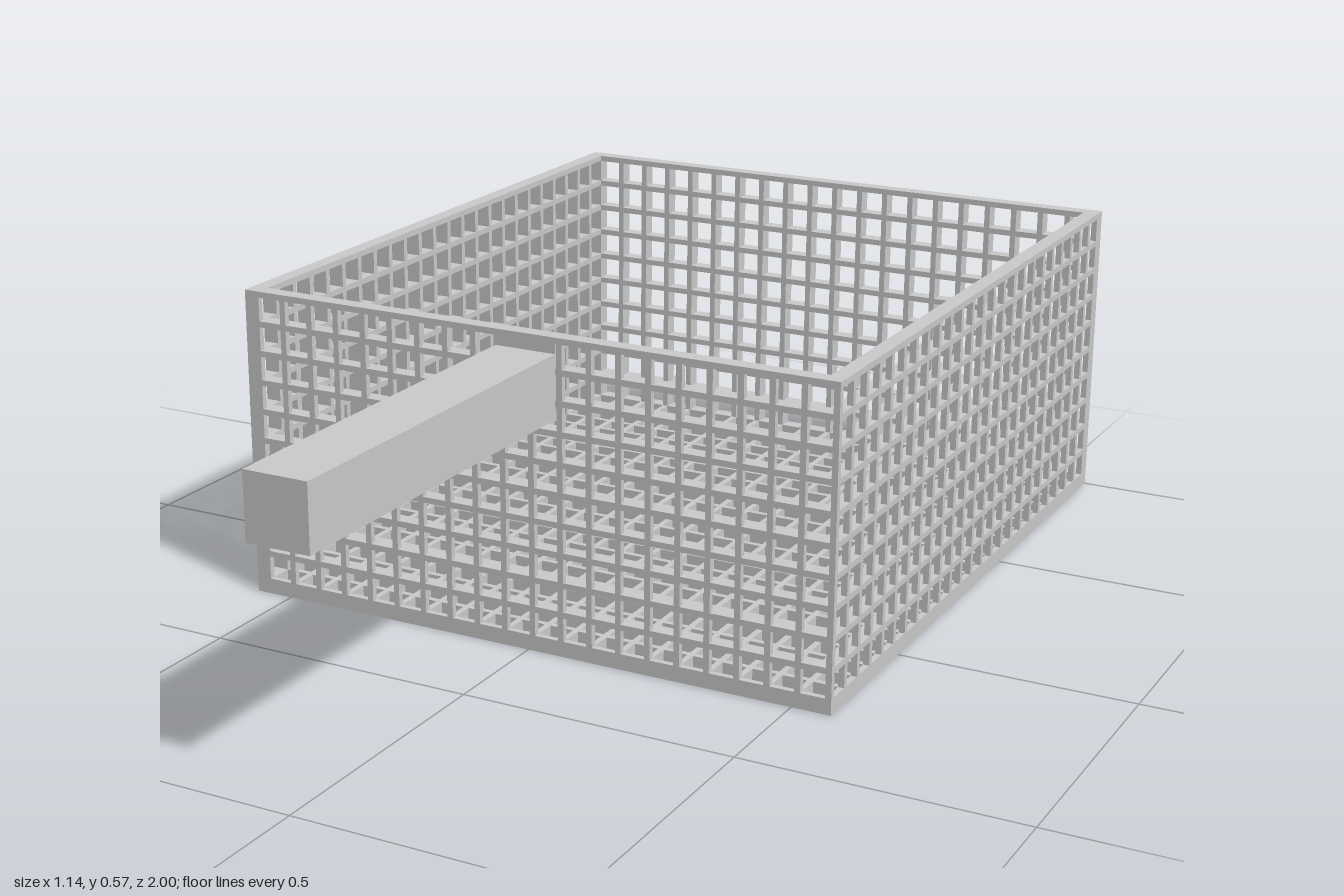
import * as THREE from 'three';

const W = 1.143, H = 0.5714, D = 1.2857;   // basket size
const X0 = -W / 2, X1 = W / 2, Z0 = -1, Z1 = Z0 + D;
const T = 0.0286;                          // wall and floor thickness
const BAR = 0.011;                         // width of one grid bar
const NX = 20, NY = 10, NZ = 24;           // openings along each axis

const material = new THREE.MeshStandardMaterial({ color: 0xcccccc, flatShading: true });

function rectPath(PathType, x0, y0, x1, y1) {
  const p = new PathType();
  p.moveTo(x0, y0);
  p.lineTo(x1, y0);
  p.lineTo(x1, y1);
  p.lineTo(x0, y1);
  p.closePath();
  return p;
}

// Pierced plate from (0, 0) to (w, h); openings start after a border T and end with a bar
function grate(w, h, cols, rows, depth) {
  const shape = rectPath(THREE.Shape, 0, 0, w, h);
  const pu = (w - T) / cols, pv = (h - T) / rows;
  for (let i = 0; i < cols; i++) {
    for (let j = 0; j < rows; j++) {
      const u = T + i * pu, v = T + j * pv;
      shape.holes.push(rectPath(THREE.Path, u, v, u + pu - BAR, v + pv - BAR));
    }
  }
  return new THREE.ExtrudeGeometry(shape, { depth, bevelEnabled: false });
}

export function createModel() {
  const model = new THREE.Group();
  const add = (name, geometry, parent = model) => {
    const mesh = new THREE.Mesh(geometry, material);
    mesh.name = name;
    parent.add(mesh);
  };
  const box = (x0, x1, y0, y1, z0, z1) =>
    new THREE.BoxGeometry(x1 - x0, y1 - y0, z1 - z0)
      .translate((x0 + x1) / 2, (y0 + y1) / 2, (z0 + z1) / 2);

  // Floor and the four pierced walls; front and left walls are a thin grid backed by ledges
  add('floor', grate(W, D, NX, NZ, T).rotateX(Math.PI / 2).translate(X0, T, Z0));
  add('backWall', grate(W, H, NX, NY, T).translate(X0, 0, Z0));
  add('frontWall', grate(W, H, NX, NY, BAR).translate(X0, 0, Z1 - BAR));
  add('rightWall', grate(D, H, NZ, NY, T).rotateY(-Math.PI / 2).translate(X0 + T, 0, Z0));
  add('leftWall', grate(D, H, NZ, NY, BAR).rotateY(-Math.PI / 2).translate(X1, 0, Z0));

  // Horizontal bars that give the thin walls their full thickness
  const ledges = new THREE.Group();
  ledges.name = 'wallLedges';
  model.add(ledges);
  const pitch = (H - T) / NY;
  for (let j = 1; j <= NY; j++) {
    const top = T + j * pitch;
    add('frontLedge', box(X0 + T, X1 - BAR, top - BAR, top, Z1 - T, Z1 - BAR), ledges);
    add('leftLedge', box(X1 - T, X1 - BAR, top - BAR, top, Z0 + T, Z1 - T), ledges);
  }

  // Handle with its solid mount in the front wall
  const hw = 0.057;
  add('handleMount', box(-hw, hw, 0.4286, H, Z1 - T, Z1));
  add('handle', box(-hw, hw, 0.4286, 0.5429, Z1, 1));

  return model;
}
